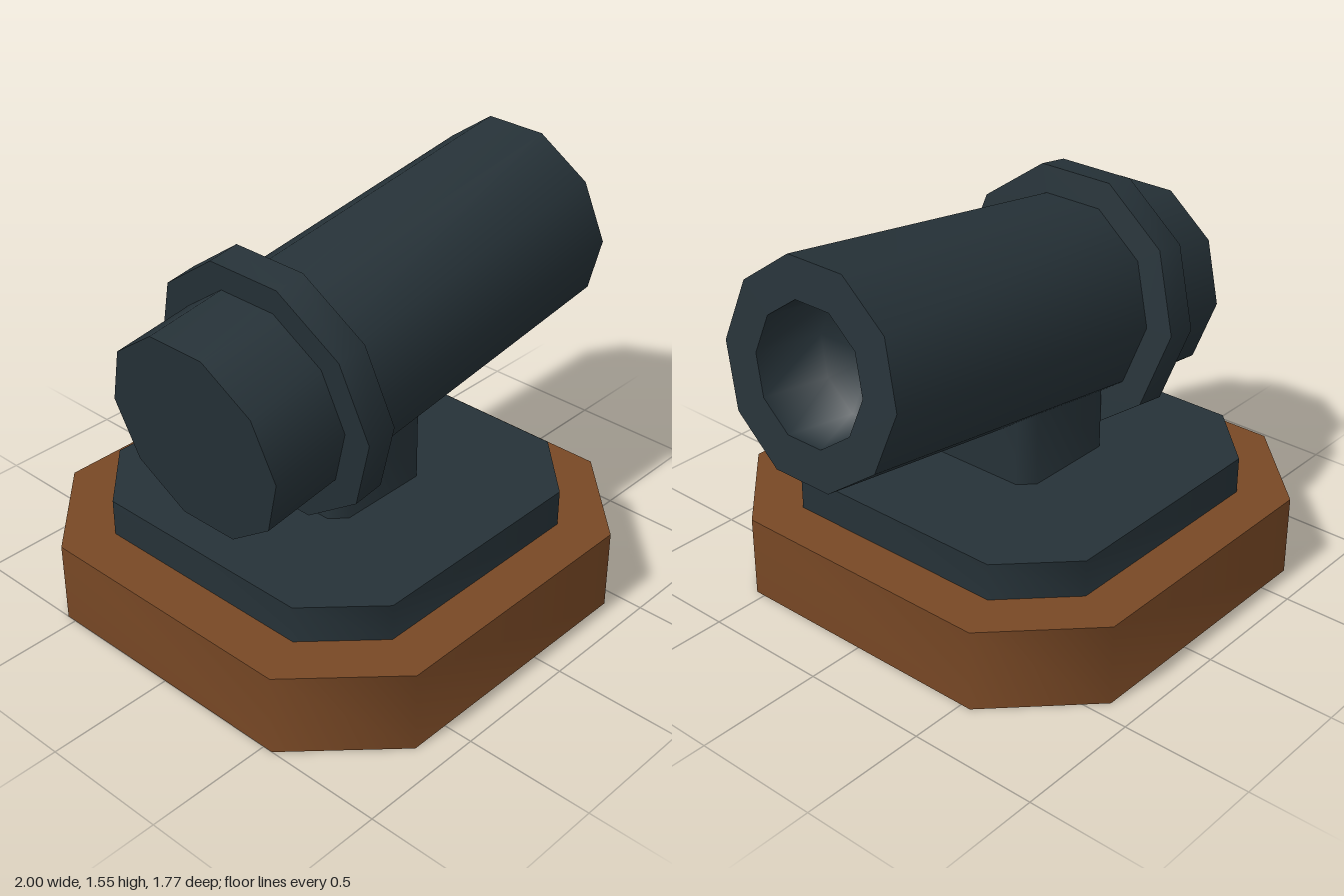
import * as THREE from 'three';
import { toCreasedNormals } from 'three/addons/utils/BufferGeometryUtils.js';

const CREASE = THREE.MathUtils.degToRad(50);

// Upright block whose four vertical corners are cut at 45 degrees
function chamferedBlock(name, material, [x0, x1], halfZ, cut, [y0, y1]) {
  const shape = new THREE.Shape([
    [x0 + cut, -halfZ], [x1 - cut, -halfZ], [x1, -halfZ + cut], [x1, halfZ - cut],
    [x1 - cut, halfZ], [x0 + cut, halfZ], [x0, halfZ - cut], [x0, -halfZ + cut],
  ].map(([x, y]) => new THREE.Vector2(x, y)));
  const geometry = new THREE.ExtrudeGeometry(shape, { depth: y1 - y0, bevelEnabled: false });
  geometry.rotateX(-Math.PI / 2).translate(0, y0, 0);
  const mesh = new THREE.Mesh(toCreasedNormals(geometry, CREASE), material);
  mesh.name = name;
  return mesh;
}

// Ten-sided turned part along x; profile is [radius, position along x]
function turned(name, material, profile, creased = true) {
  let geometry = new THREE.LatheGeometry(profile.map(([r, x]) => new THREE.Vector2(r, x)), 10);
  geometry.rotateZ(-Math.PI / 2);
  if (creased) geometry = toCreasedNormals(geometry, CREASE);
  const mesh = new THREE.Mesh(geometry, material);
  mesh.name = name;
  return mesh;
}

export function createModel() {
  const wood = new THREE.MeshStandardMaterial({ name: 'brown wood', color: 0x784825 });
  const iron = new THREE.MeshStandardMaterial({ name: 'dark iron', color: 0x263238 });

  const model = new THREE.Group();
  model.name = 'mountedCannon';

  // Stand
  model.add(
    chamferedBlock('woodenBase', wood, [-1, 0.775], 0.885, 0.345, [0, 0.32]),
    chamferedBlock('mountingPlate', iron, [-0.81, 0.59], 0.7, 0.24, [0.32, 0.465]),
    chamferedBlock('post', iron, [-0.355, 0.125], 0.245, 0.055, [0.465, 0.9]),
  );

  // Barrel, tilted with the muzzle up
  const half = 0.885, radius = 0.4, bore = 0.25, depth = 0.3;
  const barrel = new THREE.Group();
  barrel.name = 'barrelAssembly';
  barrel.add(
    turned('barrel', iron, [[0, -half], [radius, -half], [radius, half], [bore, half]]),
    turned('bore', iron, [[bore, half], [bore, half - depth], [0, half - depth]], false),
    turned('breechRing', iron, [
      [radius - 0.02, -0.556], [0.51, -0.556], [0.51, -0.43], [radius - 0.02, -0.43],
    ]),
  );
  barrel.position.set(0.067, 1.052, 0);
  barrel.rotation.z = THREE.MathUtils.degToRad(7.9);
  model.add(barrel);

  return model;
}
